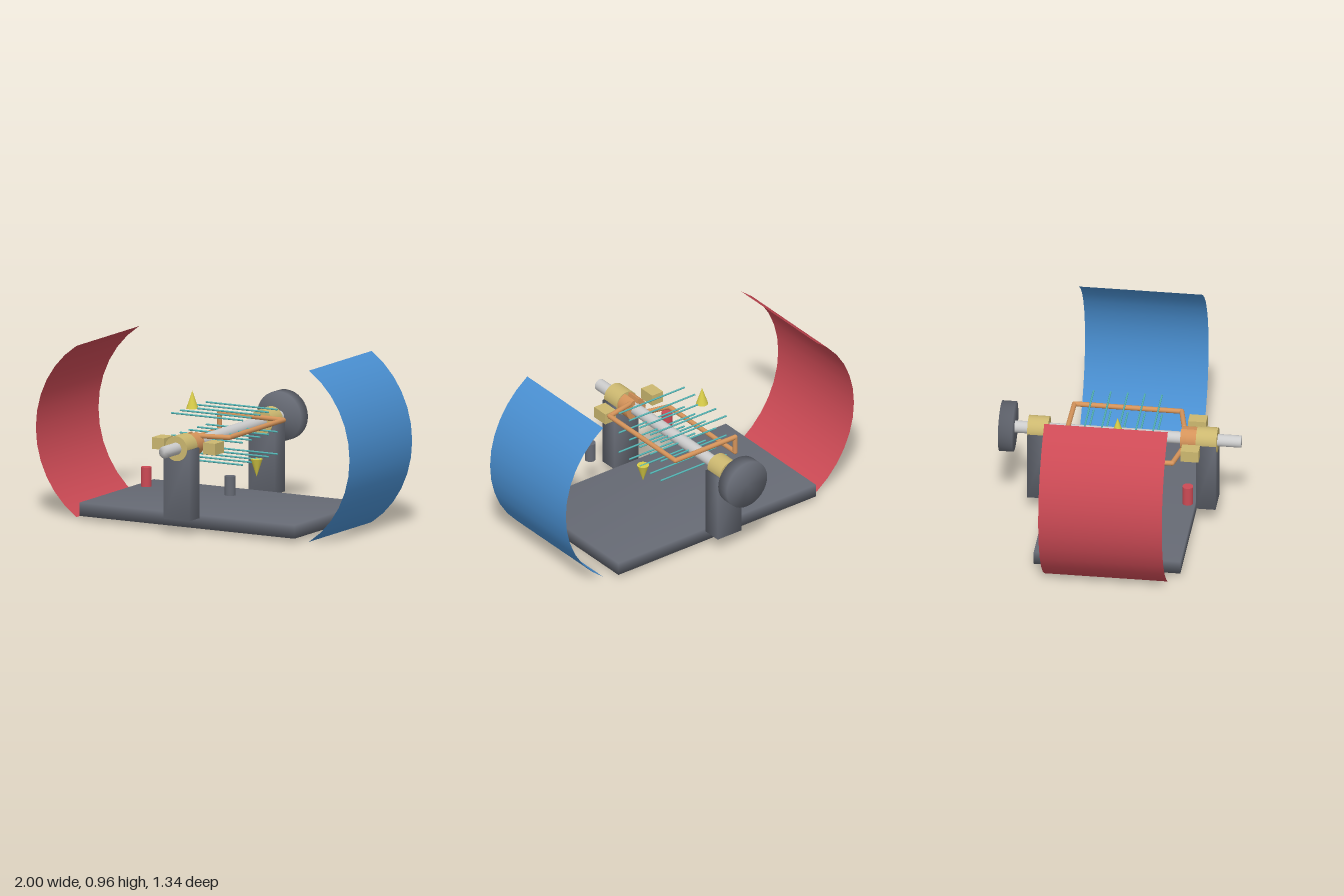
import * as THREE from 'three';
import { mergeVertices } from 'three/addons/utils/BufferGeometryUtils.js';

const AXIS_Y = 0.485;
const mat = (color, side = THREE.FrontSide) => new THREE.MeshStandardMaterial({ color, side });
const dark = mat(0x666a74), steel = mat(0xcccccc), brass = mat(0xccb870), copper = mat(0xd4935a);
const teal = mat(0x55b4b4), yellow = mat(0xd8cc48), red = mat(0xcc4a55);

// Shared normals across the edges give the soft, pillowy shading
function soften(geo) {
  geo.deleteAttribute('normal');
  geo.deleteAttribute('uv');
  const g = mergeVertices(geo, 1e-4);
  g.computeVertexNormals();
  return g;
}

export function createModel() {
  const model = new THREE.Group();
  const add = (name, geo, material, x = 0, y = 0, z = 0) => {
    const mesh = new THREE.Mesh(geo, material);
    mesh.name = name;
    mesh.position.set(x, y, z);
    model.add(mesh);
    return mesh;
  };
  const rodZ = (r, len, seg = 32) => new THREE.CylinderGeometry(r, r, len, seg).rotateX(Math.PI / 2);

  // Base plate
  add('base', soften(new THREE.BoxGeometry(1.37, 0.075, 0.815)), dark, 0, 0.0625, 0.01);

  // Posts with brass bearings
  for (const [end, z] of [['front', 0.48], ['rear', -0.457]]) {
    add(end + 'Post', soften(new THREE.BoxGeometry(0.166, 0.395, 0.11)), dark, 0, 0.2825, z);
    add(end + 'Bearing', rodZ(0.07, 0.115), brass, 0, AXIS_Y, z);
  }

  // Shaft and flywheel
  add('shaft', soften(rodZ(0.034, 1.3, 24)), steel, 0, AXIS_Y, 0.018);
  add('flywheel', soften(rodZ(0.14, 0.078)), dark, 0, AXIS_Y, -0.629);

  // Split-ring commutator, open at top and bottom
  for (const [side, turn] of [['left', 0], ['right', Math.PI]]) {
    const a = Math.PI / 2 - 0.2;
    const ring = new THREE.Shape();
    ring.absarc(0, 0, 0.065, turn - a, turn + a, false);
    ring.absarc(0, 0, 0.036, turn + a, turn - a, true);
    const geo = new THREE.ExtrudeGeometry(ring, { depth: 0.115, bevelEnabled: false, curveSegments: 16 });
    add(side + 'CommutatorHalf', geo, copper, 0, AXIS_Y, 0.335);
  }

  // Brushes and terminals
  for (const s of [1, -1]) {
    const side = s > 0 ? 'left' : 'right';
    add(side + 'Brush', new THREE.BoxGeometry(0.076, 0.065, 0.1), brass, s * 0.163, AXIS_Y, 0.405);
    add(side + 'Terminal', new THREE.CylinderGeometry(0.03, 0.03, 0.108, 20), s > 0 ? dark : red, s * 0.267, 0.283, 0.405);
  }

  // Wire coil: straight runs joined by ball corners
  const coil = new THREE.Group();
  coil.name = 'coil';
  const corners = [
    [-0.04, 0.44, 0.347], [-0.205, 0.44, 0.31], [-0.205, 0.44, -0.293],
    [-0.205, 0.535, -0.293], [0.205, 0.532, -0.287], [0.205, 0.53, 0.31], [0.04, 0.53, 0.345],
  ].map((p) => new THREE.Vector3(...p));
  corners.forEach((p, i) => {
    const ball = new THREE.Mesh(new THREE.SphereGeometry(0.014, 12, 8), copper);
    ball.name = 'coilCorner';
    ball.position.copy(p);
    coil.add(ball);
    if (!i) return;
    const run = new THREE.Mesh(
      new THREE.TubeGeometry(new THREE.LineCurve3(corners[i - 1], p), 1, 0.014, 12), copper);
    run.name = 'coilRun';
    coil.add(run);
  });
  model.add(coil);

  // Field lines running from pole to pole
  const line = new THREE.CylinderGeometry(0.005, 0.005, 0.455, 8).rotateZ(Math.PI / 2);
  for (const y of [0.36, AXIS_Y, 0.61])
    for (let i = -2; i <= 2; i++) add('fieldLine', line, teal, 0, y, 0.007 + i * 0.095);

  // Force arrowheads
  const cone = new THREE.ConeGeometry(0.034, 0.1, 20);
  add('upArrow', cone, yellow, -0.205, 0.657, 0.007);
  add('downArrow', cone, yellow, 0.205, 0.312, 0.007).rotation.x = Math.PI;

  // Thin curved magnet poles
  const R = 0.575, half = Math.asin(0.48 / R);
  for (const [side, s, color] of [['left', 1, 0x4a90d2], ['right', -1, 0xcc4a55]]) {
    const mid = s * Math.PI / 2;
    const geo = new THREE.CylinderGeometry(R, R, 0.687, 12, 1, true, mid - half, 2 * half);
    geo.rotateX(Math.PI / 2);
    add(side + 'Magnet', geo, mat(color, THREE.DoubleSide), s * (1 - R), 0.483, 0.012);
  }
  return model;
}
